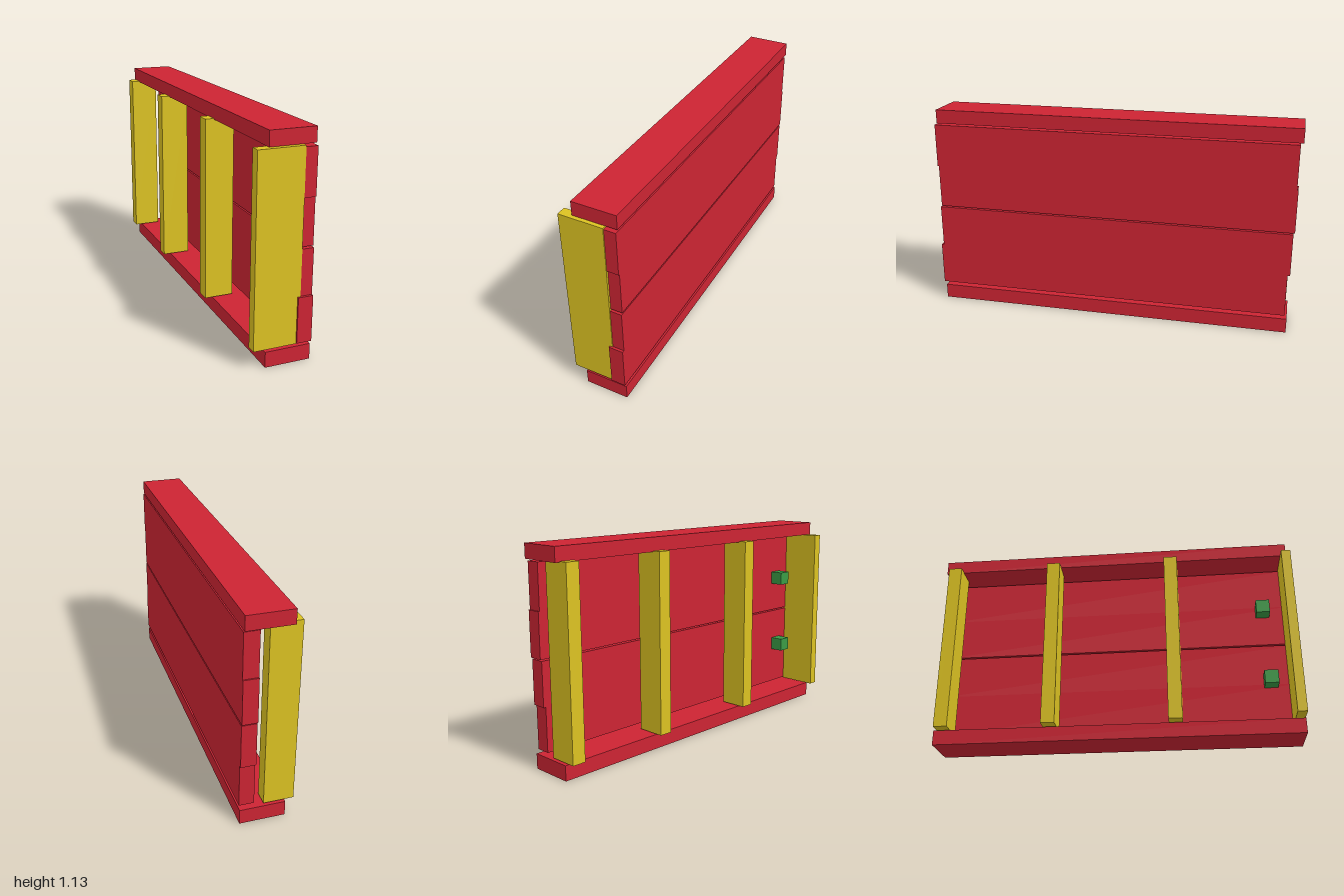
import * as THREE from 'three';

const red = new THREE.MeshStandardMaterial({ color: 0xcc2433 });
const yellow = new THREE.MeshStandardMaterial({ color: 0xdcc222 });
const green = new THREE.MeshStandardMaterial({ color: 0x3a9a45 });

// Box given by its extents along each axis
function block(name, material, [x0, x1], [y0, y1], [z0, z1]) {
  const mesh = new THREE.Mesh(new THREE.BoxGeometry(x1 - x0, y1 - y0, z1 - z0), material);
  mesh.position.set((x0 + x1) / 2, (y0 + y1) / 2, (z0 + z1) / 2);
  mesh.name = name;
  return mesh;
}

export function createModel() {
  const model = new THREE.Group();
  model.name = 'plankWall';

  // Sill and cap rails
  model.add(block('bottomRail', red, [-0.087, 0.147], [0, 0.08], [-0.985, 0.988]));
  model.add(block('topRail', red, [-0.087, 0.147], [1.055, 1.13], [-1, 0.973]));

  // Siding planks, each shifted a little lengthwise
  const planks = [
    [[0.1, 0.334], [-0.972, 1]],
    [[0.334, 0.567], [-0.985, 0.987]],
    [[0.575, 0.81], [-0.992, 0.98]],
    [[0.81, 1.045], [-0.985, 0.987]],
  ];
  planks.forEach(([y, z], i) => model.add(block(`plank${i + 1}`, red, [0.07, 0.147], y, z)));

  // Upright studs behind the planks
  [-0.937, -0.356, 0.318].forEach((z, i) =>
    model.add(block(`stud${i + 1}`, yellow, [-0.133, 0.022], [0.087, 1.06], [z - 0.037, z + 0.037])));

  // Wide board closing the front end
  model.add(block('endBoard', yellow, [-0.15, 0.085], [0.095, 1.053], [0.94, 0.991]));

  // Small cleats on the inside of the planks
  [[0.315, 0.805], [0.745, 0.79]].forEach(([y, z], i) =>
    model.add(block(`cleat${i + 1}`, green, [-0.007, 0.07], [y, y + 0.075], [z, z + 0.075])));

  return model;
}
